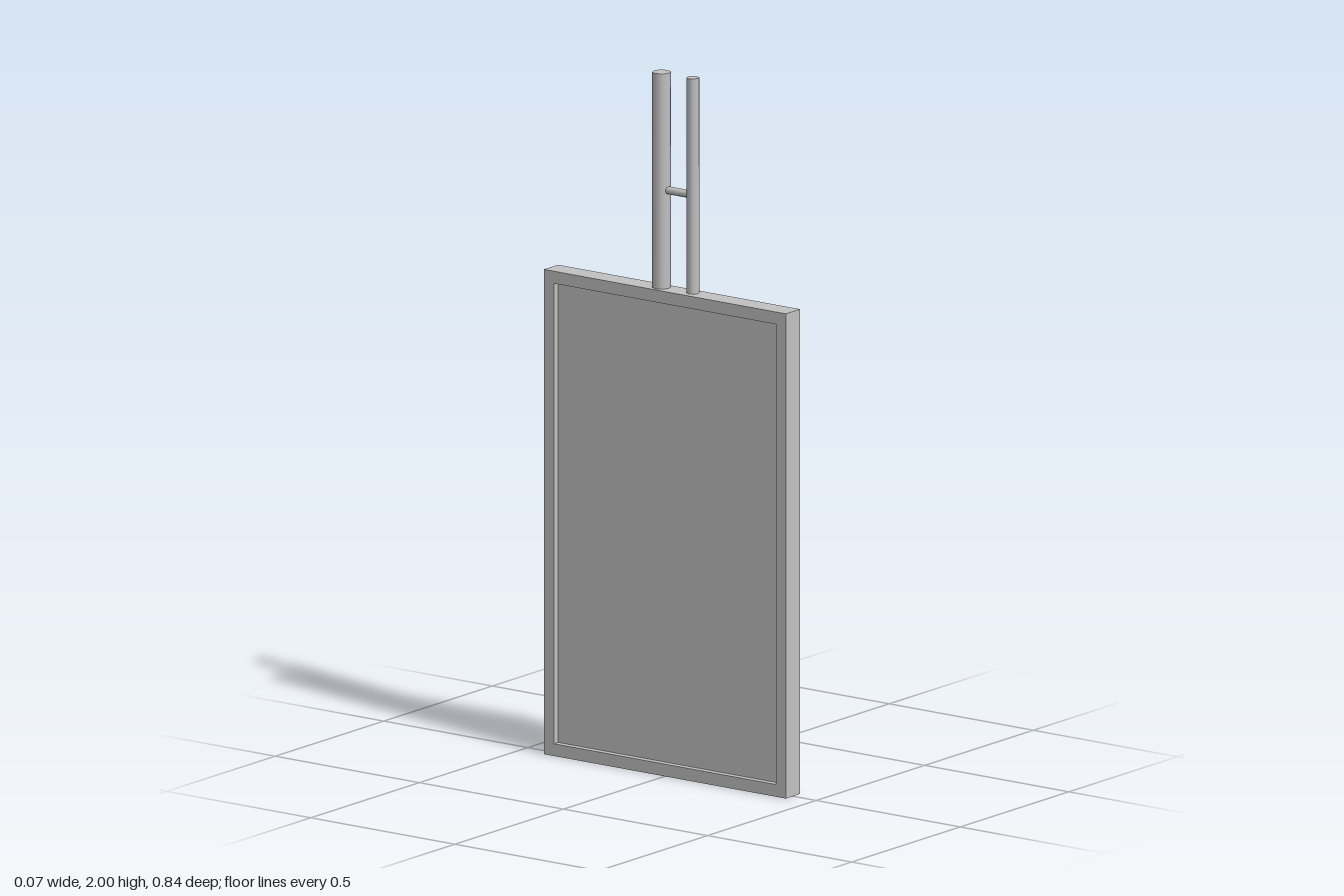
import * as THREE from 'three';

const metal = new THREE.MeshStandardMaterial({ color: 0xc3c3c3 });
metal.name = 'light grey metal';

const H = 1.385, HALF_W = 0.42, HALF_T = 0.033, RIM = 0.035, TOP = 2;

function addMesh(group, name, geometry, x = 0, y = 0, z = 0) {
  const mesh = new THREE.Mesh(geometry, metal);
  mesh.name = name;
  mesh.position.set(x, y, z);
  group.add(mesh);
  return mesh;
}

// rectangle path from the lower corner to the upper corner
function rectangle(path, w, y0, y1) {
  path.moveTo(-w, y0);
  path.lineTo(w, y0);
  path.lineTo(w, y1);
  path.lineTo(-w, y1);
  path.closePath();
  return path;
}

export function createModel() {
  const model = new THREE.Group();
  model.name = 'hangingPanel';

  // rectangular frame, open in the middle, turned to lie along z
  const outline = rectangle(new THREE.Shape(), HALF_W, 0, H);
  outline.holes.push(rectangle(new THREE.Path(), HALF_W - RIM, RIM, H - RIM));
  const frame = new THREE.ExtrudeGeometry(outline, { depth: 2 * HALF_T, bevelEnabled: false });
  frame.translate(0, 0, -HALF_T).rotateY(Math.PI / 2);
  addMesh(model, 'frame', frame);

  // panel recessed on both sides
  addMesh(model, 'panel',
    new THREE.BoxGeometry(0.028, H - 2 * RIM, 2 * (HALF_W - RIM)), 0, H / 2, 0);

  // two upright pipes of different thickness
  const pipes = [['mainPipe', 0.0265, -0.039], ['thinPipe', 0.018, 0.07]];
  for (const [name, radius, z] of pipes) {
    addMesh(model, name,
      new THREE.CylinderGeometry(radius, radius, TOP - H, 8), 0.003, (TOP + H) / 2, z);
  }

  // short bar joining the pipes
  const bar = new THREE.CylinderGeometry(0.0115, 0.0115, 0.075, 8).rotateX(Math.PI / 2);
  addMesh(model, 'crossBar', bar, 0.003, 1.665, 0.019);

  return model;
}
